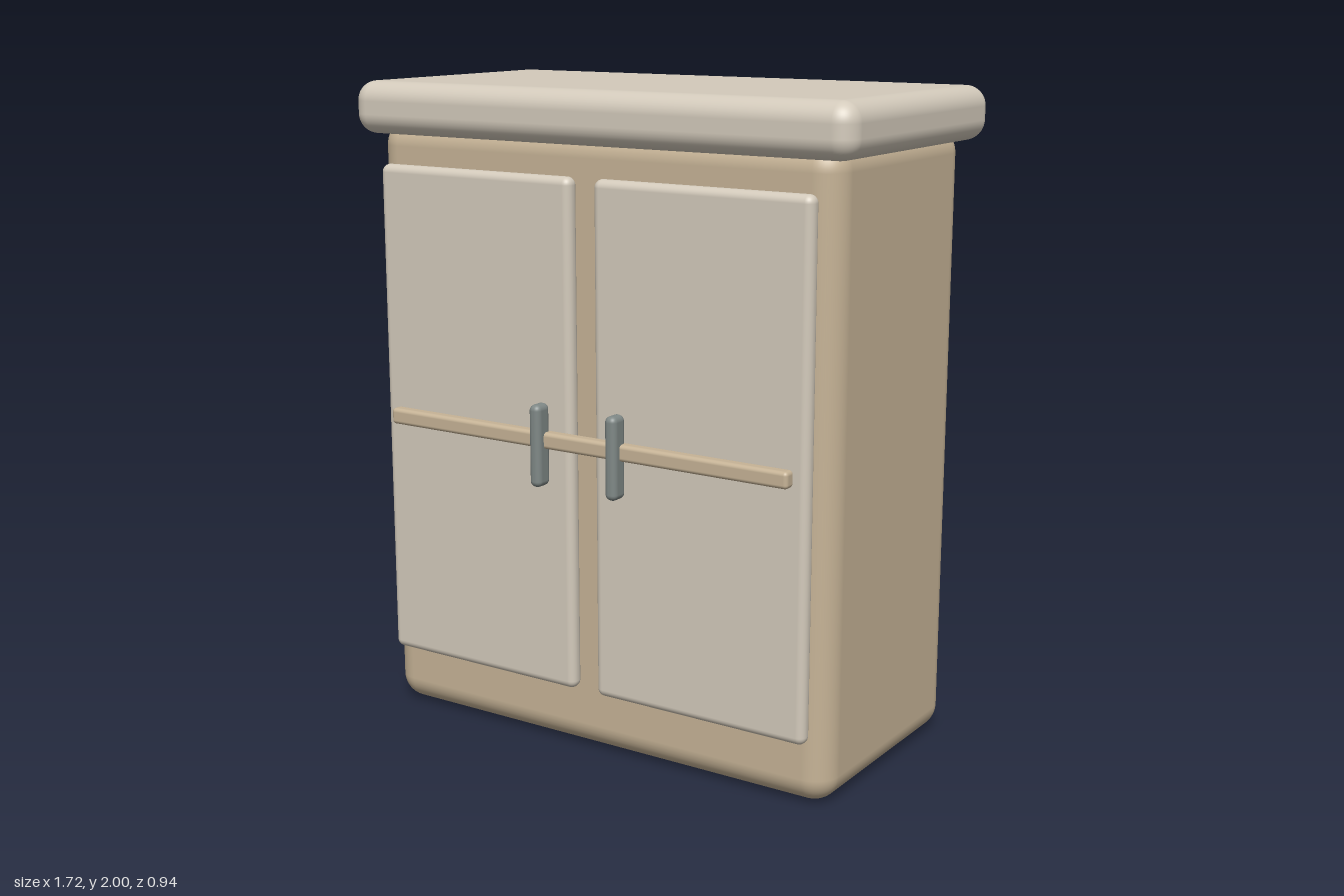
import * as THREE from 'three';
import { RoundedBoxGeometry } from 'three/addons/geometries/RoundedBoxGeometry.js';

export function createModel() {
  const group = new THREE.Group();
  const material = (name, color) => {
    const m = new THREE.MeshStandardMaterial({ color });
    m.name = name;
    return m;
  };
  const wood = material('tan wood', 0xc6b396);
  const cream = material('cream paint', 0xd3cabb);
  const metal = material('grey metal', 0x7f8886);

  // Rounded box given by its [min, max] extent on each axis
  const block = (name, mat, [x0, x1], [y0, y1], [z0, z1], radius, segments = 4) => {
    const mesh = new THREE.Mesh(
      new RoundedBoxGeometry(x1 - x0, y1 - y0, z1 - z0, segments, radius), mat);
    mesh.position.set((x0 + x1) / 2, (y0 + y1) / 2, (z0 + z1) / 2);
    mesh.name = name;
    group.add(mesh);
  };

  // Carcass and overhanging top
  block('cabinetBody', wood, [-0.8, 0.8], [0.002, 1.885], [-0.42, 0.365], 0.08, 6);
  block('countertop', cream, [-0.86, 0.86], [1.84, 2], [-0.472, 0.413], 0.06, 6);

  // Rail across the doors
  block('crossRail', wood, [-0.705, 0.705], [0.953, 1.003], [0.405, 0.447], 0.012);

  // Doors, handles and the small rear feet, mirrored
  for (const [side, s] of [['left', 1], ['right', -1]]) {
    const span = (c, w) => [s * c - w / 2, s * c + w / 2];
    block(side + 'Door', cream, span(0.395, 0.71), [0.203, 1.753], [0.363, 0.414], 0.024);
    block(side + 'Handle', metal, span(0.135, 0.04), [0.838, 1.088], [0.411, 0.472], 0.018);
    block(side + 'RearFoot', metal, span(0.63, 0.1), [0, 0.05], [-0.375, -0.325], 0.001, 1);
  }
  return group;
}
